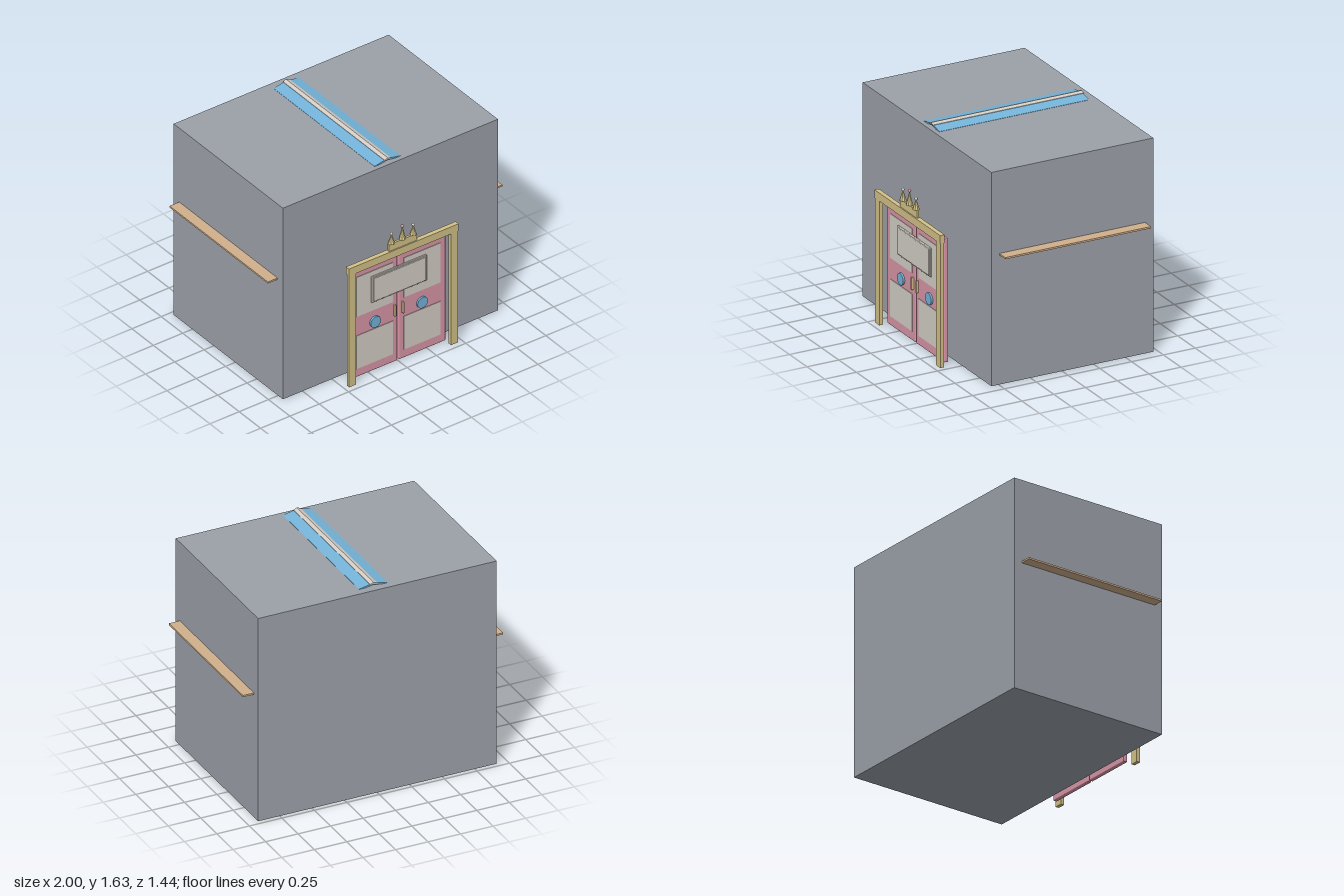
import * as THREE from 'three';
import { RoundedBoxGeometry } from 'three/addons/geometries/RoundedBoxGeometry.js';

const material = (name, color) => {
  const m = new THREE.MeshStandardMaterial({ color });
  m.name = name;
  return m;
};

export function createModel() {
  const wall = material('wallGrey', 0x9ca1a9);
  const pink = material('doorPink', 0xda96a8);
  const cream = material('cream', 0xd4cec6);
  const gold = material('gold', 0xd3c288);
  const blue = material('roofBlue', 0x75b4da);
  const tan = material('eaveTan', 0xd2b08c);

  const model = new THREE.Group();
  model.name = 'building';

  const add = (name, geometry, mat, x = 0, y = 0, z = 0, parent = model) => {
    const mesh = new THREE.Mesh(geometry, mat);
    mesh.name = name;
    mesh.position.set(x, y, z);
    parent.add(mesh);
    return mesh;
  };
  // Box given by its extents on each axis, optionally with rounded edges
  const block = (name, mat, [x0, x1], [y0, y1], [z0, z1], parent = model, round = 0) => {
    const size = [x1 - x0, y1 - y0, z1 - z0];
    const geometry = round ? new RoundedBoxGeometry(...size, 2, round) : new THREE.BoxGeometry(...size);
    return add(name, geometry, mat, (x0 + x1) / 2, (y0 + y1) / 2, (z0 + z1) / 2, parent);
  };
  // Gable cross-section extruded along z
  const gable = (name, mat, halfWidth, low, high, thick, z0, z1) => {
    const shape = new THREE.Shape([
      [-halfWidth, low - thick], [0, high - thick], [halfWidth, low - thick],
      [halfWidth, low], [0, high], [-halfWidth, low],
    ].map(([x, y]) => new THREE.Vector2(x, y)));
    return add(name, new THREE.ExtrudeGeometry(shape, { depth: z1 - z0, bevelEnabled: false }), mat, 0, 0, z0);
  };

  // Main volume
  block('walls', wall, [-0.918, 0.916], [0, 1.595], [-0.717, 0.556]);

  // Roof ridge and its cap
  gable('roofRidge', blue, 0.11, 1.597, 1.619, 0.012, -0.657, 0.52);
  gable('ridgeCap', cream, 0.027, 1.617, 1.626, 0.008, -0.662, 0.525);

  // Eaves, doors and posts, mirrored
  for (const s of [-1, 1]) {
    const side = s > 0 ? 'left' : 'right';
    const span = (a, b) => (s > 0 ? [a, b] : [-b, -a]);

    block(side + 'Eave', tan, span(0.9, 1), [0.965, 0.978], [-0.652, 0.493]);

    const door = new THREE.Group();
    door.name = side + 'Door';
    model.add(door);
    block('doorLeaf', pink, span(0.006, 0.405), [0.006, 0.927], [0.613, 0.645], door, 0.006);
    block('upperPanel', cream, span(0.045, 0.36), [0.51, 0.84], [0.642, 0.649], door);
    block('lowerPanel', cream, span(0.045, 0.36), [0.075, 0.352], [0.642, 0.649], door);
    block('handle', gold, span(0.028, 0.041), [0.392, 0.484], [0.642, 0.664], door, 0.003);
    const disc = add('disc', new THREE.CylinderGeometry(0.044, 0.044, 0.018, 24), blue, s * 0.2, 0.41, 0.65, door);
    disc.rotation.x = Math.PI / 2;

    block(side + 'Post', gold, span(0.405, 0.464), [0, 0.94], [0.68, 0.708]);
  }
  block('lintel', gold, [-0.469, 0.467], [0.93, 0.99], [0.676, 0.711]);

  // Sign board with a raised face
  block('signBoard', cream, [-0.236, 0.234], [0.583, 0.8], [0.648, 0.662], model, 0.005);
  block('signFace', cream, [-0.225, 0.223], [0.594, 0.789], [0.655, 0.669], model, 0.005);

  // Crown above the doorway
  const crown = new THREE.Group();
  crown.name = 'crown';
  model.add(crown);
  block('crownBand', gold, [-0.12, 0.12], [0.99, 1.046], [0.685, 0.702], crown);
  for (const [x, height, mat] of [[-0.093, 0.08, cream], [0, 0.105, pink], [0.093, 0.08, cream]]) {
    const cone = new THREE.ConeGeometry(0.026, height, 8);
    add('crownSpike', cone.toNonIndexed(), gold, x, 1.046 + height / 2, 0.694, crown).geometry.computeVertexNormals();
    add('crownJewel', new THREE.SphereGeometry(0.012, 12, 8), mat, x, 1.046 + height, 0.694, crown);
  }

  return model;
}
